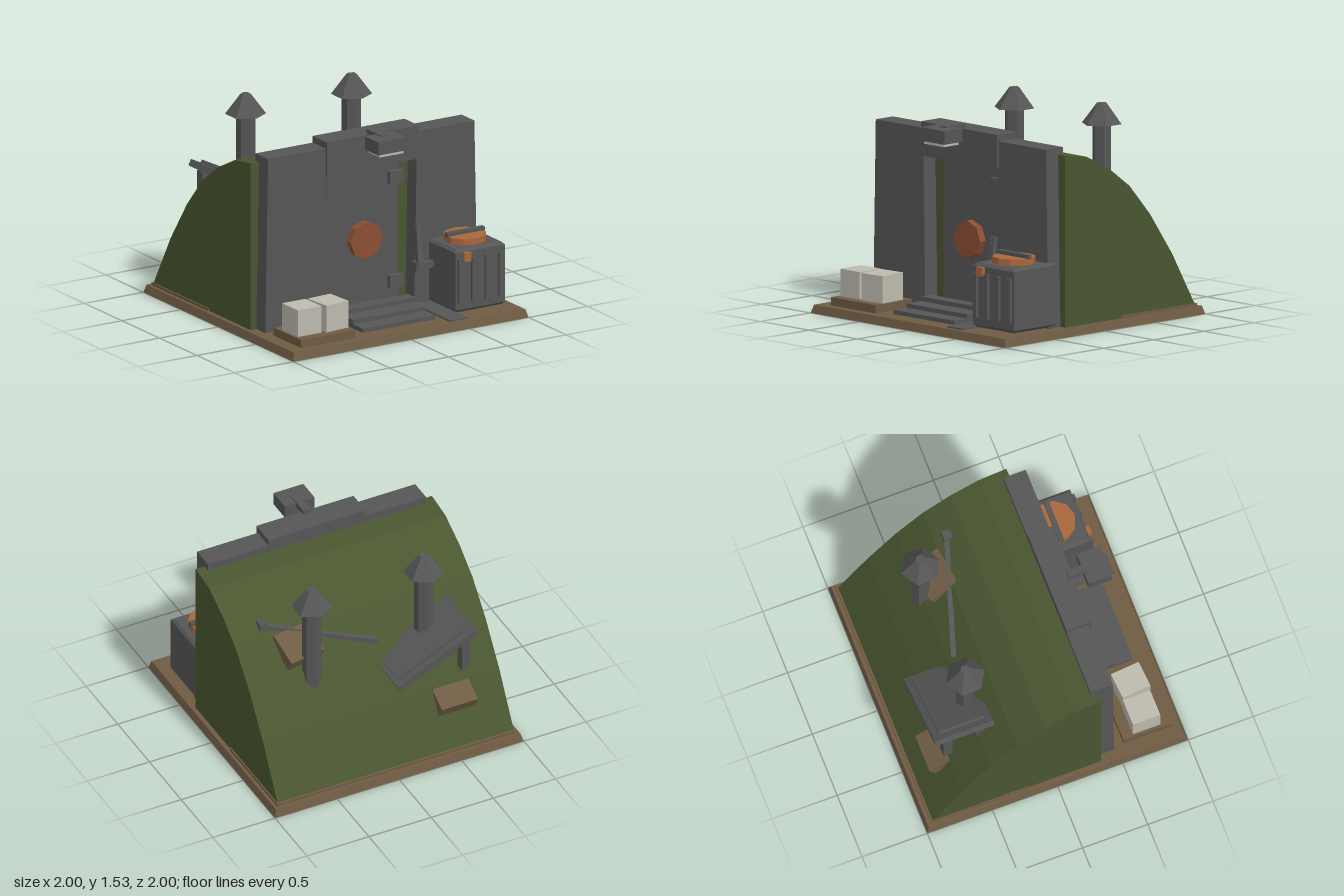
import * as THREE from 'three';

const mat = (name, color) => {
  const m = new THREE.MeshStandardMaterial({ color, flatShading: true });
  m.name = name;
  return m;
};

export function createModel() {
  const concrete = mat('concrete grey', 0x565656);
  const grass = mat('moss green', 0x495630);
  const earth = mat('earth brown', 0x6e5b43);
  const copper = mat('copper orange', 0xa8673c);
  const rust = mat('rust red', 0x8b4f32);
  const pale = mat('pale stone', 0xbdbaae);

  const root = new THREE.Group();
  root.name = 'bunker';

  const add = (name, geo, material, pos = [0, 0, 0], rot = [0, 0, 0], parent = root) => {
    const m = new THREE.Mesh(geo, material);
    m.name = name;
    m.position.set(...pos);
    m.rotation.set(rot[0], rot[1], rot[2], 'YXZ');
    parent.add(m);
    return m;
  };
  // Box given by its extents on each axis
  const span = (name, material, [x0, x1], [y0, y1], [z0, z1]) =>
    add(name, new THREE.BoxGeometry(x1 - x0, y1 - y0, z1 - z0), material,
      [(x0 + x1) / 2, (y0 + y1) / 2, (z0 + z1) / 2]);
  // Box whose top is scaled relative to its bottom
  const taperBox = (w, h, d, sx, sz) => {
    const g = new THREE.BoxGeometry(w, h, d);
    const p = g.attributes.position;
    for (let i = 0; i < p.count; i++) {
      if (p.getY(i) > 0) p.setXYZ(i, p.getX(i) * sx, p.getY(i), p.getZ(i) * sz);
    }
    g.computeVertexNormals();
    return g;
  };
  // Square bar between two points
  const bar = (name, material, a, b, size) => {
    const va = new THREE.Vector3(...a), vb = new THREE.Vector3(...b);
    const m = add(name, new THREE.BoxGeometry(size, size, va.distanceTo(vb)), material,
      va.clone().add(vb).multiplyScalar(0.5).toArray());
    m.lookAt(vb);
    return m;
  };

  // Ground slab and rear earth strip
  add('groundSlab', taperBox(2, 0.06, 2, 0.983, 0.983), earth, [0, 0.03, 0]);
  span('rearEarthStrip', earth, [-0.96, 0.96], [0.06, 0.08], [-0.955, -0.2]);

  // Grassy mound: side profile as (z, y), extruded across x
  const profile = [[0.35, 0.06], [0.35, 1.31], [0.14, 1.28], [-0.08, 1.17], [-0.29, 1.016],
    [-0.495, 0.786], [-0.716, 0.47], [-0.945, 0.07], [-0.945, 0.06]];
  const moundShape = new THREE.Shape(profile.map(([z, y]) => new THREE.Vector2(-z, y)));
  const mound = new THREE.ExtrudeGeometry(moundShape, { depth: 1.9, bevelEnabled: false });
  mound.translate(0, 0, -0.95).rotateY(Math.PI / 2);
  add('mound', mound, grass);

  // Entrance walls and lintel
  for (const s of [-1, 1]) {
    add('entranceWall', taperBox(0.535, 1.3, 0.17, 0.91, 1), concrete, [s * 0.633, 0.71, 0.385]);
  }
  span('lintel', concrete, [-0.39, 0.39], [1.16, 1.41], [0.3, 0.49]);

  // Door with hand wheel and hinges
  span('door', concrete, [-0.3, 0.3], [0.06, 1.17], [0.3, 0.354]);
  add('doorWheel', new THREE.CylinderGeometry(0.137, 0.137, 0.06, 8), rust,
    [0, 0.59, 0.38], [Math.PI / 2, 0, 0]);
  for (const y of [0.235, 1.017]) {
    span('doorHinge', concrete, [0.21, 0.33], [y - 0.047, y + 0.047], [0.34, 0.39]);
  }

  // Steps
  [[0.545, 0.84, 0.09], [0.485, 0.71, 0.122], [0.47, 0.57, 0.155]].forEach(([z0, z1, top]) =>
    span('step', concrete, [-0.31, 0.31], [0.06, top], [z0, z1]));

  // Overhead lamp
  span('lampArm', concrete, [-0.03, 0.03], [1.4, 1.443], [0.455, 0.65]);
  span('lampHousing', concrete, [-0.12, 0.12], [1.335, 1.433], [0.572, 0.752]);
  span('lampGlass', pale, [-0.1, 0.1], [1.314, 1.336], [0.592, 0.74]);

  // Pallet with two blocks
  span('pallet', earth, [-0.88, -0.42], [0.06, 0.12], [0.55, 0.915]);
  add('block', new THREE.BoxGeometry(0.2, 0.2, 0.21), pale, [-0.76, 0.22, 0.735]);
  add('block', new THREE.BoxGeometry(0.2, 0.2, 0.22), pale, [-0.535, 0.22, 0.737], [0, 0.08, 0]);

  // Storage tank with chamfered edges
  const c = 0.02, half = 0.19;
  const tankShape = new THREE.Shape([[-half, -half], [half, -half], [half, half], [-half, half]]
    .map(([x, y]) => new THREE.Vector2(x, y)));
  const tank = new THREE.ExtrudeGeometry(tankShape,
    { depth: 0.43, bevelSize: c, bevelThickness: c, bevelSegments: 1 });
  tank.rotateX(-Math.PI / 2);
  add('tank', tank, concrete, [0.7, 0.088, 0.612]);
  for (const x of [0.525, 0.64, 0.755, 0.87]) {
    span('tankRib', concrete, [x - 0.018, x + 0.018], [0.145, 0.47], [0.81, 0.845]);
  }
  span('tankLabel', copper, [0.548, 0.61], [0.45, 0.515], [0.81, 0.852]);
  add('tankLid', new THREE.CylinderGeometry(0.157, 0.157, 0.05, 10), copper, [0.7, 0.56, 0.62]);
  span('lidHandle', concrete, [0.54, 0.86], [0.58, 0.612], [0.598, 0.636]);

  // Lever, its pipe and foot plate
  span('footPlate', concrete, [0.36, 0.51], [0.055, 0.072], [0.47, 0.95]);
  span('leverBox', concrete, [0.333, 0.408], [0.33, 0.4], [0.475, 0.55]);
  span('leverPipe', concrete, [0.4, 0.5], [0.342, 0.388], [0.49, 0.535]);
  add('lever', new THREE.BoxGeometry(0.04, 0.31, 0.035), concrete, [0.37, 0.515, 0.52],
    [-0.13, 0, -0.02]);

  // Chimneys
  for (const x of [-0.45, 0.45]) {
    add('chimneyShaft', new THREE.CylinderGeometry(0.07, 0.07, 0.92, 6), concrete, [x, 0.93, -0.5]);
    add('chimneyCap', new THREE.CylinderGeometry(0.036, 0.148, 0.15, 6), concrete, [x, 1.455, -0.5]);
  }

  // Tilted panel on posts
  const panel = new THREE.Group();
  panel.name = 'tiltedPanel';
  panel.position.set(-0.4, 0.82, -0.605);
  panel.rotation.z = -0.454;
  root.add(panel);
  add('panelFrame', new THREE.BoxGeometry(0.7, 0.05, 0.45), concrete, [0, 0, 0], [0, 0, 0], panel);
  add('panelFace', new THREE.BoxGeometry(0.61, 0.026, 0.35), concrete, [0.01, 0.037, 0], [0, 0, 0], panel);
  for (const z of [-0.725, -0.48]) {
    span('panelPost', concrete, [-0.695, -0.625], [0.6, 0.93], [z - 0.035, z + 0.035]);
  }

  // Crates half sunk in the mound
  const crate = new THREE.BoxGeometry(0.29, 0.095, 0.25);
  add('sunkenCrate', crate, earth, [-0.555, 0.41, -0.735], [-0.48, 0, 0]);
  add('sunkenCrate', crate, earth, [0.495, 0.943, -0.36], [-0.48, 0.16, 0]);

  // Fallen mast
  bar('fallenMast', concrete, [-0.1, 0.85, -0.455], [0.7, 1.085, -0.205], 0.036);
  span('mastHead', concrete, [0.665, 0.73], [1.03, 1.122], [-0.235, -0.17]);

  return root;
}
